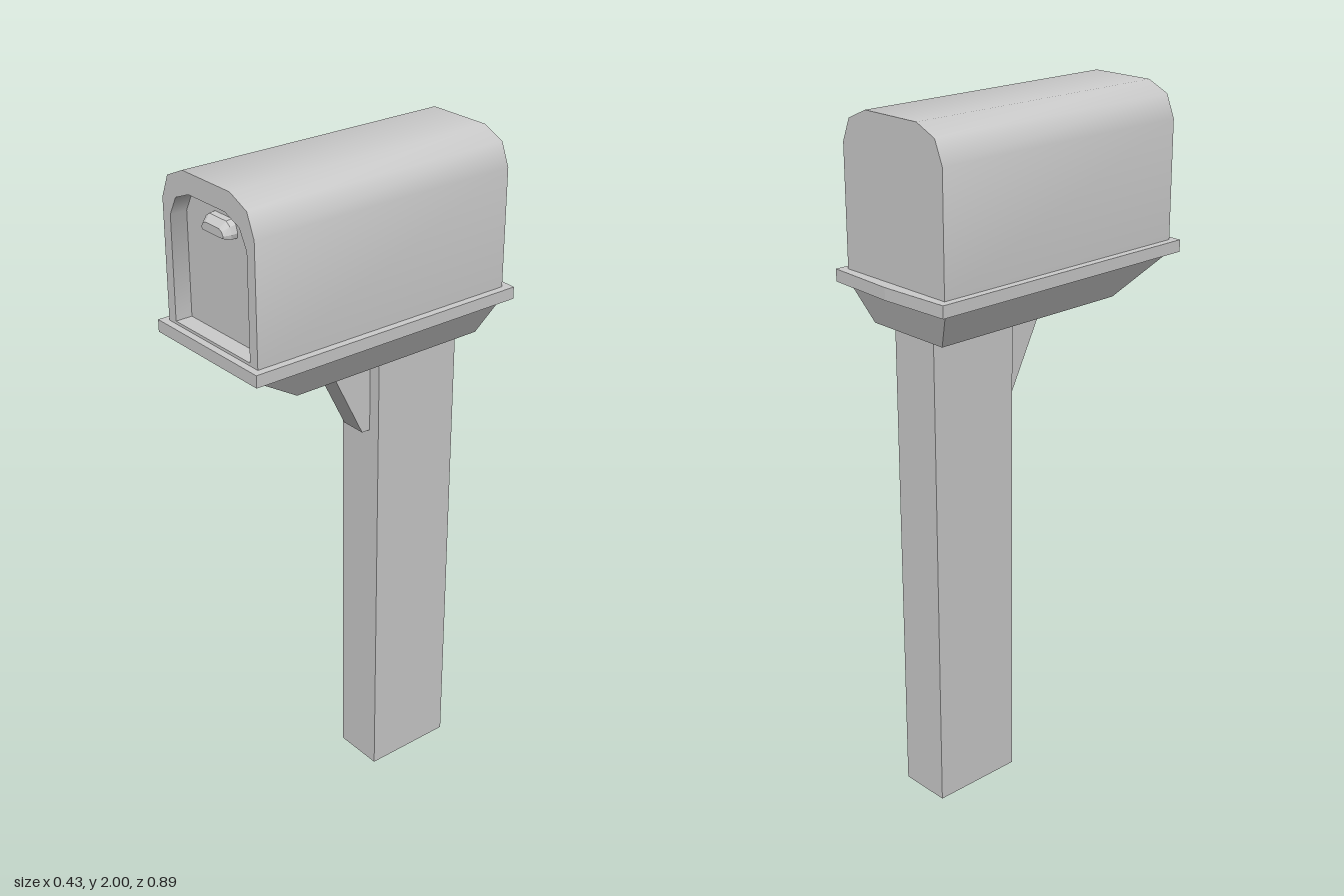
import * as THREE from 'three';
import { toCreasedNormals } from 'three/addons/utils/BufferGeometryUtils.js';
import { ConvexGeometry } from 'three/addons/geometries/ConvexGeometry.js';

const material = new THREE.MeshStandardMaterial({ color: 0xcccccc });
const openMaterial = new THREE.MeshStandardMaterial({
  color: 0xcccccc, flatShading: true, side: THREE.DoubleSide,
});

// Mirror a half outline (listed from bottom right up to the top) across x = 0.
function symmetric(half) {
  const left = half.map(([x, y]) => [-x, y]).reverse();
  return [...half, ...left].map(([x, y]) => new THREE.Vector2(x, y));
}

// Corners of a horizontal rectangle at height y.
function rectangle(halfWidth, back, front, y) {
  return [[-1, back], [1, back], [1, front], [-1, front]]
    .map(([s, z]) => new THREE.Vector3(s * halfWidth, y, z));
}

function extrude(shape, depth) {
  return new THREE.ExtrudeGeometry(shape, { depth, bevelEnabled: false });
}

export function createModel() {
  const model = new THREE.Group();
  model.name = 'mailbox';

  function add(name, geometry, mat = material) {
    const mesh = new THREE.Mesh(geometry, mat);
    mesh.name = name;
    model.add(mesh);
    return mesh;
  }

  // Hollow post, open at the foot
  const post = new THREE.CylinderGeometry(Math.SQRT1_2, Math.SQRT1_2, 1.42, 4, 1, true);
  post.rotateY(Math.PI / 4).scale(0.156, 1, 0.28).translate(0, 0.71, -0.212);
  add('post', post, openMaterial);

  // Slanted brace in front of the post, profile in (z, y)
  const brace = new THREE.Shape([[-0.072, 1.17], [-0.045, 1.17], [0.08, 1.42], [-0.072, 1.42]]
    .map(([z, y]) => new THREE.Vector2(z, y)));
  add('brace', extrude(brace, 0.08).rotateY(-Math.PI / 2).translate(0.04, 0, 0));

  // Tapered support under the tray
  add('support', new ConvexGeometry([
    ...rectangle(0.137, -0.373, 0.257, 1.42),
    ...rectangle(0.195, -0.41, 0.425, 1.53),
  ]));

  // Tray with a shallow point at the back
  const tray = new THREE.Shape([[-0.217, 0.443], [0.217, 0.443], [0.217, -0.436], [0, -0.446], [-0.217, -0.436]]
    .map(([x, z]) => new THREE.Vector2(x, -z)));
  add('tray', extrude(tray, 0.035).rotateX(-Math.PI / 2).translate(0, 1.53, 0));

  // Domed shell, with the door set back inside its front rim
  const outer = symmetric([[0.195, 1.565], [0.195, 1.905], [0.168, 1.97], [0.1, 2]]);
  const inner = symmetric([[0.163, 1.573], [0.163, 1.867], [0.135, 1.92], [0.077, 1.943]]);
  const rim = new THREE.Shape(outer);
  rim.holes.push(new THREE.Path(inner));
  add('shell', toCreasedNormals(extrude(rim, 0.834), 0.9).translate(0, 0, -0.412));
  const panel = new THREE.ShapeGeometry(new THREE.Shape(inner));
  add('door', panel).position.z = 0.372;
  add('backPanel', panel.clone().rotateY(Math.PI)).position.z = -0.412;

  // Door pull: an arched block tapering to a smaller front face
  const arch = (w, bottom, top, z) => symmetric([
    [w * 0.95, bottom], [w, bottom + (top - bottom) * 0.3],
    [w * 0.88, bottom + (top - bottom) * 0.75], [w * 0.62, top],
  ]).map((p) => new THREE.Vector3(p.x, p.y, z));
  add('doorPull', new ConvexGeometry([
    ...arch(0.058, 1.857, 1.902, 0.372),
    ...arch(0.058, 1.857, 1.9, 0.39),
    ...arch(0.046, 1.86, 1.883, 0.408),
  ]));

  return model;
}
